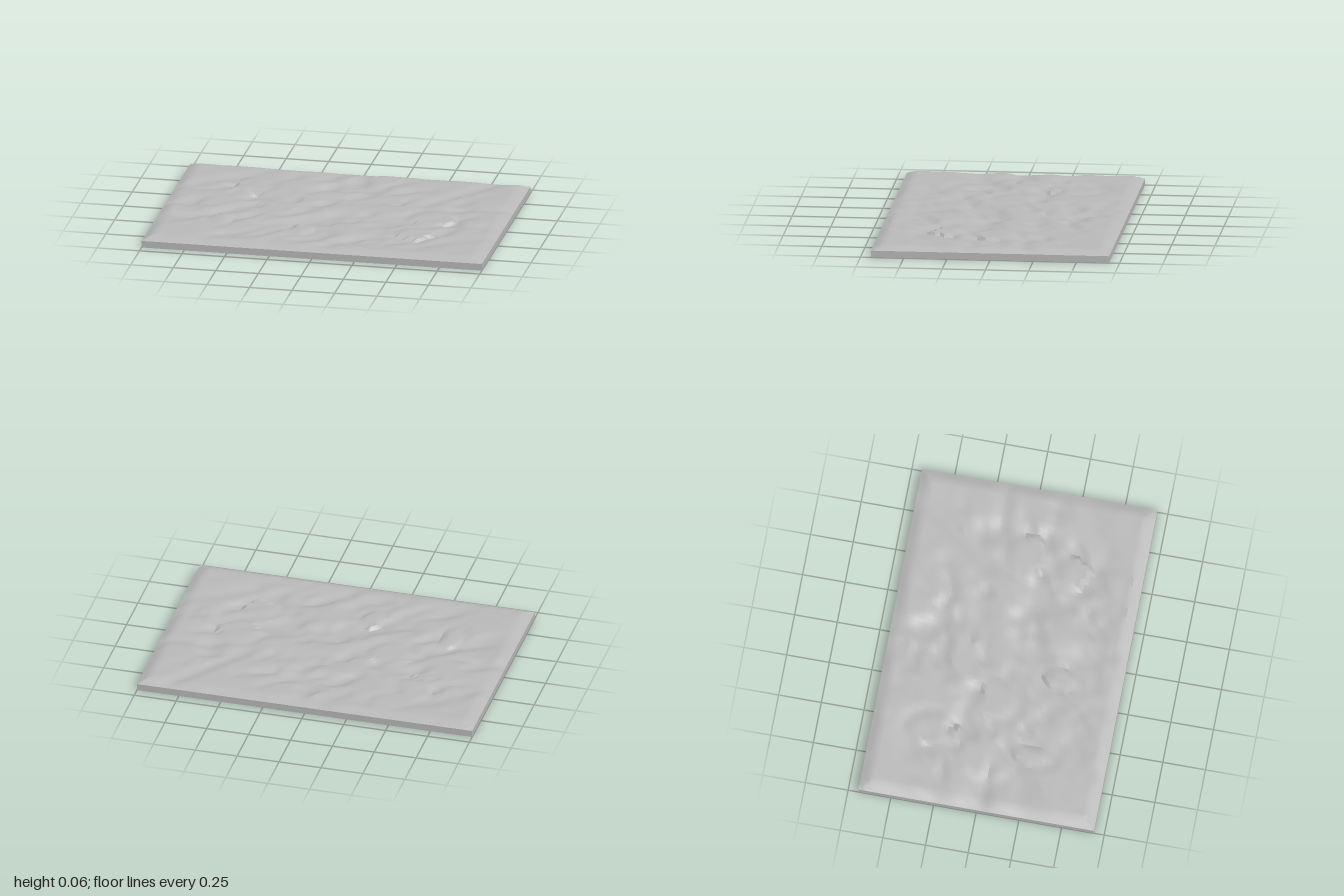
import * as THREE from 'three';
import { toCreasedNormals } from 'three/addons/utils/BufferGeometryUtils.js';

const HALF_X = 1, HALF_Z = 0.69, BASE = 0.04, RELIEF = 0.025;
const NX = 72, NZ = 50, BEVEL = 0.055;

const smooth = (a, b, v) => THREE.MathUtils.smoothstep(v, a, b);

// Seeded lattice noise
function hash(i, j) {
  const s = Math.sin(i * 127.1 + j * 311.7 + 4.3) * 43758.5453;
  return s - Math.floor(s);
}
function noise(x, z) {
  const i = Math.floor(x), j = Math.floor(z);
  const u = smooth(0, 1, x - i), v = smooth(0, 1, z - j);
  const lerp = THREE.MathUtils.lerp;
  return lerp(lerp(hash(i, j), hash(i + 1, j), u), lerp(hash(i, j + 1), hash(i + 1, j + 1), u), v);
}

// Valleys: start x, z, end x, z, width, depth
const valleys = [
  [0.48, -0.2, 0.82, -0.66, 0.05, 0.7],
  [-0.96, -0.24, -0.68, -0.46, 0.05, 0.5],
  [-1, 0.02, -0.72, 0.02, 0.04, 0.6],
  [-1, 0.3, -0.66, 0.14, 0.06, 0.5],
  [-0.1, -0.62, -0.1, -0.42, 0.04, 0.35],
  [0.03, -0.58, 0.12, -0.3, 0.05, 0.4],
  [0.7, -0.17, 0.98, -0.19, 0.04, 0.6],
  [0.72, 0.18, 1, 0.14, 0.05, 0.5],
  [0.6, 0.45, 0.95, 0.3, 0.07, 0.5],
  [-0.65, 0.62, -0.5, 0.42, 0.06, 0.4],
  [0.1, 0.62, 0.22, 0.4, 0.06, 0.35],
  [0, 0.12, 0.4, 0.1, 0.05, 0.6],
  [-0.1, -0.14, 0.22, -0.2, 0.06, 0.5],
];

// Stepped knolls: x, z, radius x, radius z
const knolls = [
  [-0.57, -0.35, 0.1, 0.13],
  [-0.58, -0.2, 0.07, 0.04],
  [-0.33, -0.01, 0.13, 0.12],
  [-0.13, 0.33, 0.07, 0.1],
  [0.58, 0.01, 0.13, 0.12],
  [0.52, 0.3, 0.1, 0.1],
  [-0.62, 0.25, 0.06, 0.12],
];

function valleyDepth(x, z, [ax, az, bx, bz, w, depth]) {
  const dx = bx - ax, dz = bz - az;
  const t = THREE.MathUtils.clamp(((x - ax) * dx + (z - az) * dz) / (dx * dx + dz * dz), 0, 1);
  const d = Math.hypot(x - ax - t * dx, z - az - t * dz);
  return depth * Math.exp(-((d / w) ** 2));
}

// Relief height from 0 (valley floor) to 1 (plateau)
function relief(x, z, i, j) {
  const inner = 1 - smooth(0.65, 1.05, Math.hypot(x / 1.1, z / 0.72));
  const slant = x < 0 ? 0.6 : 0.4;
  const n = noise(x * 6 + 9, (z + x * slant) * 11 + 5) * 0.65 + noise(x * 15, z * 17 + 30) * 0.35;
  let h = 1 - (0.12 + 0.75 * inner) * smooth(0.34, 0.85, n);
  for (const valley of valleys) h -= valleyDepth(x, z, valley) * 0.8;
  let raised = false;
  for (const [cx, cz, rx, rz] of knolls) {
    const r = Math.hypot((x - cx) / rx, (z - cz) / rz);
    h -= 0.4 * Math.exp(-(((r - 1.15) / 0.3) ** 2));
    if (r < 0.7 + 0.3 * hash(i >> 1, j >> 1)) raised = true;
  }
  // Small stepped ledges across the middle
  if (inner > 0.6 && hash((i >> 2) + 40, j >> 1) > 0.9) h += 0.3;
  if (raised) h = Math.max(h, 0.85);
  return THREE.MathUtils.clamp(h, 0.08, 1);
}

function createTerrainGeometry() {
  const geometry = new THREE.PlaneGeometry(2 * HALF_X, 2 * HALF_Z, NX, NZ);
  geometry.rotateX(-Math.PI / 2);
  const p = geometry.attributes.position;
  for (let k = 0; k < p.count; k++) {
    const x = p.getX(k), z = p.getZ(k);
    const border = Math.min(HALF_X - Math.abs(x), HALF_Z - Math.abs(z));
    const rise = THREE.MathUtils.clamp(border / BEVEL, 0, 1);
    const h = relief(x, z, k % (NX + 1), Math.floor(k / (NX + 1)));
    p.setY(k, BASE + RELIEF * rise * h);
  }
  geometry.deleteAttribute('normal');
  geometry.deleteAttribute('uv');
  return toCreasedNormals(geometry, 0.5);
}

export function createModel() {
  const stone = new THREE.MeshStandardMaterial({ color: 0xb8b8b8 });
  stone.name = 'grey stone';

  const model = new THREE.Group();
  model.name = 'reliefSlab';

  // Flat slab below
  const base = new THREE.Mesh(new THREE.BoxGeometry(2 * HALF_X, BASE, 2 * HALF_Z), stone);
  base.name = 'baseSlab';
  base.position.y = BASE / 2;

  // Bevelled terrain surface on top
  const terrain = new THREE.Mesh(createTerrainGeometry(), stone);
  terrain.name = 'terrainSurface';

  model.add(base, terrain);
  return model;
}
